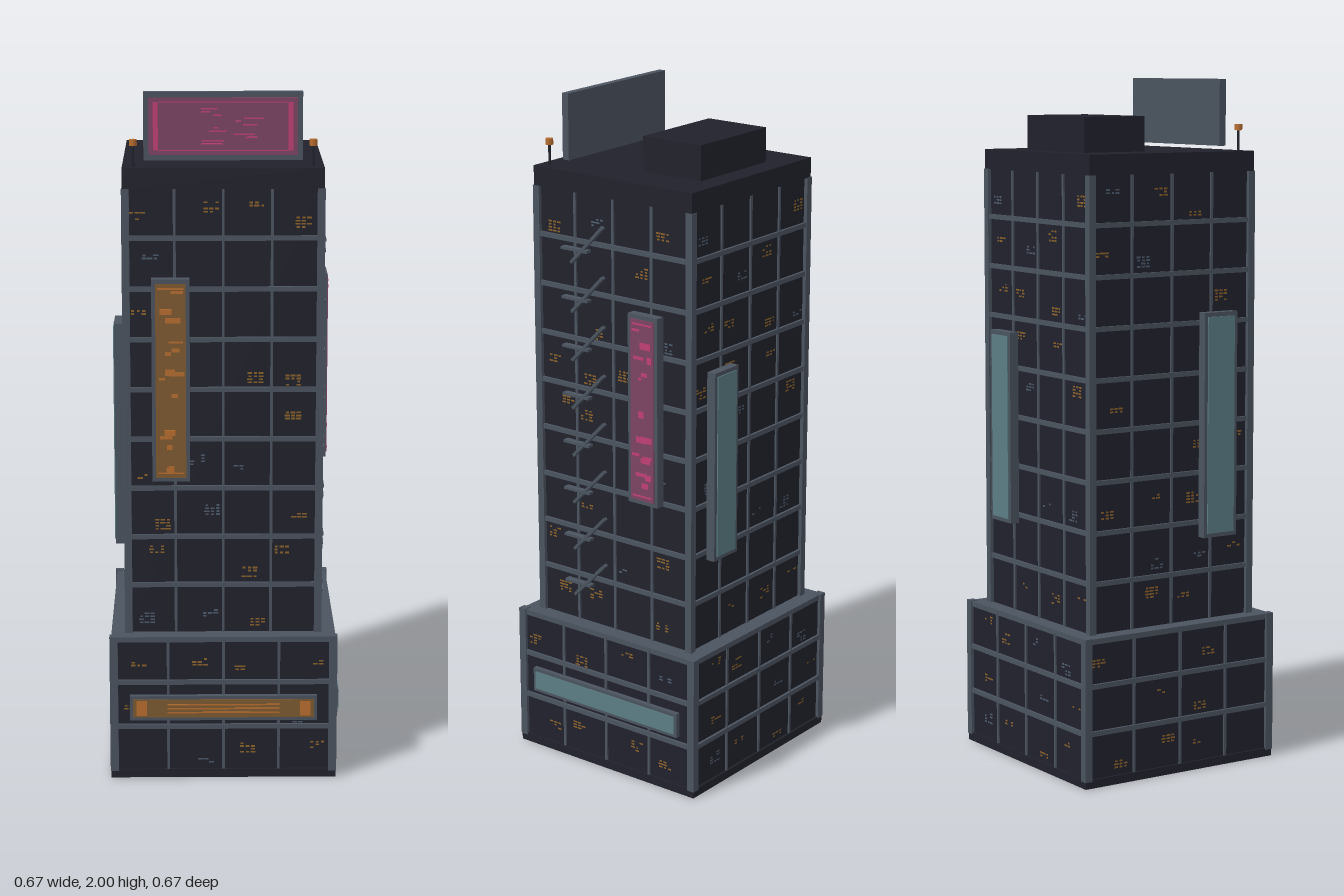
import * as THREE from 'three';
import { mergeGeometries } from 'three/addons/utils/BufferGeometryUtils.js';

const mat = (name, color) => {
  const m = new THREE.MeshStandardMaterial({ color });
  m.name = name;
  return m;
};

export function createModel() {
  const M = {
    wall: mat('darkWall', 0x21212c),
    trim: mat('greyTrim', 0x4a535f),
    amber: mat('amberPanel', 0x7d5a30),
    amberLit: mat('amberGlow', 0xb86d2e),
    pink: mat('pinkPanel', 0x7c4463),
    pinkLit: mat('pinkGlow', 0xbf3f74),
    teal: mat('tealPanel', 0x5a7d84),
    warmWin: mat('warmWindow', 0x8c6229),
    coolWin: mat('coolWindow', 0x4c5c6e),
  };
  const model = new THREE.Group();
  model.name = 'tower';
  const C = -0.006; // building axis in x and z

  let seed = 7;
  const rnd = () => (seed = (seed * 16807) % 2147483647) / 2147483647;

  const boxGeo = (w, h, d, x, y, z) => new THREE.BoxGeometry(w, h, d).translate(x, y, z);
  const add = (parent, name, geos, material) => {
    const list = [].concat(geos);
    if (!list.length) return;
    const mesh = new THREE.Mesh(list.length > 1 ? mergeGeometries(list) : list[0], material);
    mesh.name = name;
    parent.add(mesh);
  };

  // Main masses
  add(model, 'baseBlock', boxGeo(0.644, 0.425, 0.644, C, 0.2125, C), M.wall);
  add(model, 'baseLedge', boxGeo(0.652, 0.016, 0.652, C, 0.425, C), M.trim);
  add(model, 'plinth', boxGeo(0.658, 0.025, 0.658, C, 0.0125, C), M.wall);
  add(model, 'towerBlock', boxGeo(0.55, 1.32, 0.55, C, 1.09, C), M.wall);
  add(model, 'roofSlab', boxGeo(0.567, 0.058, 0.567, C, 1.765, C), M.wall);
  add(model, 'roofHut', boxGeo(0.307, 0.102, 0.204, C, 1.844, -0.12), M.wall);

  // Corner posts
  const posts = [];
  for (const sx of [-1, 1]) for (const sz of [-1, 1]) {
    posts.push(boxGeo(0.024, 0.415, 0.024, C + sx * 0.319, 0.2275, C + sz * 0.319));
    posts.push(boxGeo(0.022, 1.305, 0.022, C + sx * 0.275, 1.084, C + sz * 0.275));
  }
  add(model, 'cornerPosts', posts, M.trim);

  // Small lit dashes scattered in a window bay
  function windowDashes(u, y, w, h, d, warm, cool) {
    if (rnd() > 0.62) return;
    const target = rnd() < 0.78 ? warm : cool;
    const cx = u + (rnd() - 0.5) * w * 0.55;
    const cy = y + (rnd() - 0.5) * h * 0.6;
    const rows = 2 + Math.floor(rnd() * 3);
    for (let r = 0; r < rows; r++) for (let k = -1; k <= 1; k++) {
      if (rnd() < 0.3) continue;
      const len = 0.007 + rnd() * 0.009;
      target.push(new THREE.PlaneGeometry(len, 0.005)
        .translate(cx + k * 0.016, cy + (r - rows / 2) * 0.009, d));
    }
  }

  // A grid of beams, mullions and lit windows on one facade
  function facade(face, label, wallD, half, lines, floors) {
    const bars = [], warm = [], cool = [];
    const bay = half / 2;
    for (const y of lines) bars.push(boxGeo(half * 2, 0.014, 0.012, 0, y, wallD + 0.002));
    const y0 = floors[0], y1 = floors[floors.length - 1];
    for (const i of [-1, 0, 1])
      bars.push(boxGeo(0.008, y1 - y0, 0.008, i * bay, (y0 + y1) / 2, wallD + 0.001));
    for (let f = 0; f < floors.length - 1; f++)
      for (let b = 0; b < 4; b++)
        windowDashes((b - 1.5) * bay, (floors[f] + floors[f + 1]) / 2, bay,
          floors[f + 1] - floors[f], wallD + 0.002, warm, cool);
    add(face, label + 'Grid', bars, M.trim);
    add(face, label + 'WarmWindows', warm, M.warmWin);
    add(face, label + 'CoolWindows', cool, M.coolWin);
  }

  // Framed sign: grey casing, coloured panel, optional glowing marks
  function sign(parent, name, s) {
    const g = new THREE.Group();
    g.name = name;
    g.position.set(s.u, s.y, s.d);
    parent.add(g);
    add(g, 'casing', boxGeo(s.w, s.h, s.t, 0, 0, -s.t / 2), M.trim);
    const pw = s.w - s.inset * 2, ph = s.h - s.inset * 2.2;
    add(g, 'panel', boxGeo(pw, ph, 0.004, 0, 0, 0.001), s.panel);
    if (!s.glow) return;
    const marks = [];
    const plate = (w, h, x, y) => marks.push(boxGeo(w, h, 0.002, x, y, 0.0035));
    if (s.marks === 'tall') {
      for (let i = 0; i < 15; i++) {
        const w = pw * (0.15 + rnd() * 0.4);
        plate(w, 0.006 + rnd() * 0.014, (rnd() - 0.5) * (pw - w) * 0.8, (rnd() - 0.5) * ph * 0.92);
      }
      for (const e of [-1, 1]) plate(pw * 0.85, 0.005, 0, e * ph * 0.475);
    } else if (s.marks === 'strip') {
      for (const e of [-1, 1]) plate(0.03, ph * 0.8, e * (pw / 2 - 0.025), 0);
      for (let i = -1; i <= 1; i++) plate(pw * 0.62, 0.004, 0, i * 0.012);
    } else {
      for (const e of [-1, 1]) {
        plate(0.014, ph * 0.84, e * (pw / 2 - 0.02), 0);
        plate(pw * 0.86, 0.003, 0, e * ph * 0.42);
      }
      for (let i = 0; i < 12; i++)
        plate(0.015 + rnd() * 0.05, 0.004, (rnd() - 0.5) * 0.18, (i - 5.5) * 0.009);
    }
    add(g, 'glowMarks', marks, s.glow);
  }

  // Four facades, each with its own vertical sign
  const floorLines = Array.from({ length: 8 }, (_, i) => 0.578 + i * 0.1455);
  const tall = { d: 0.312, t: 0.028, inset: 0.011, marks: 'tall' };
  const sides = [
    { name: 'front', turn: 0, sign: { u: -0.149, y: 1.191, w: 0.108, h: 0.588, panel: M.amber, glow: M.amberLit } },
    { name: 'left', turn: Math.PI / 2, sign: { u: 0.132, y: 1.146, w: 0.105, h: 0.562, panel: M.pink, glow: M.pinkLit } },
    { name: 'back', turn: Math.PI, sign: { u: -0.156, y: 0.984, w: 0.11, h: 0.566, panel: M.teal } },
    { name: 'right', turn: -Math.PI / 2, sign: { u: 0.149, y: 1.008, w: 0.115, h: 0.656, panel: M.teal } },
  ];
  const faces = {};
  for (const s of sides) {
    const face = new THREE.Group();
    face.name = s.name + 'Facade';
    face.position.set(C, 0, C);
    face.rotation.y = s.turn;
    model.add(face);
    faces[s.name] = face;
    facade(face, 'tower', 0.275, 0.275, floorLines, [0.433, ...floorLines, 1.736]);
    facade(face, 'base', 0.322, 0.322, [0.158, 0.295], [0.025, 0.158, 0.295, 0.425]);
    sign(face, s.name + 'VerticalSign', { ...tall, ...s.sign });
  }

  // Long signs on the base
  const strip = { u: 0, y: 0.218, w: 0.545, h: 0.075, d: 0.337, t: 0.018, inset: 0.009, marks: 'strip' };
  sign(faces.front, 'frontBaseSign', { ...strip, panel: M.amber, glow: M.amberLit });
  sign(faces.left, 'sideBaseSign', { ...strip, panel: M.teal });

  // Fire escape: a sloping flight and a landing at each floor
  const flights = [], landings = [];
  for (const y of floorLines) {
    flights.push(new THREE.BoxGeometry(0.165, 0.009, 0.014)
      .rotateZ(0.8).translate(-0.085, y - 0.005, 0.288));
    landings.push(boxGeo(0.095, 0.008, 0.02, -0.13, y - 0.025, 0.285));
  }
  add(faces.left, 'fireEscapeFlights', flights, M.trim);
  add(faces.left, 'fireEscapeLandings', landings, M.trim);

  // Rooftop billboard
  sign(model, 'rooftopBillboard', {
    u: C, y: 1.904, d: 0.219, w: 0.447, h: 0.192, t: 0.022, inset: 0.014,
    marks: 'board', panel: M.pink, glow: M.pinkLit,
  });

  // Beacon masts
  for (const [name, x] of [['rightBeacon', -0.258], ['leftBeacon', 0.246]]) {
    const g = new THREE.Group();
    g.name = name;
    g.position.set(x, 0, 0.244);
    add(g, 'mast', new THREE.CylinderGeometry(0.004, 0.004, 0.07, 6).translate(0, 1.823, 0), M.wall);
    add(g, 'lamp', new THREE.CylinderGeometry(0.011, 0.011, 0.018, 8).translate(0, 1.862, 0), M.amberLit);
    model.add(g);
  }

  return model;
}
